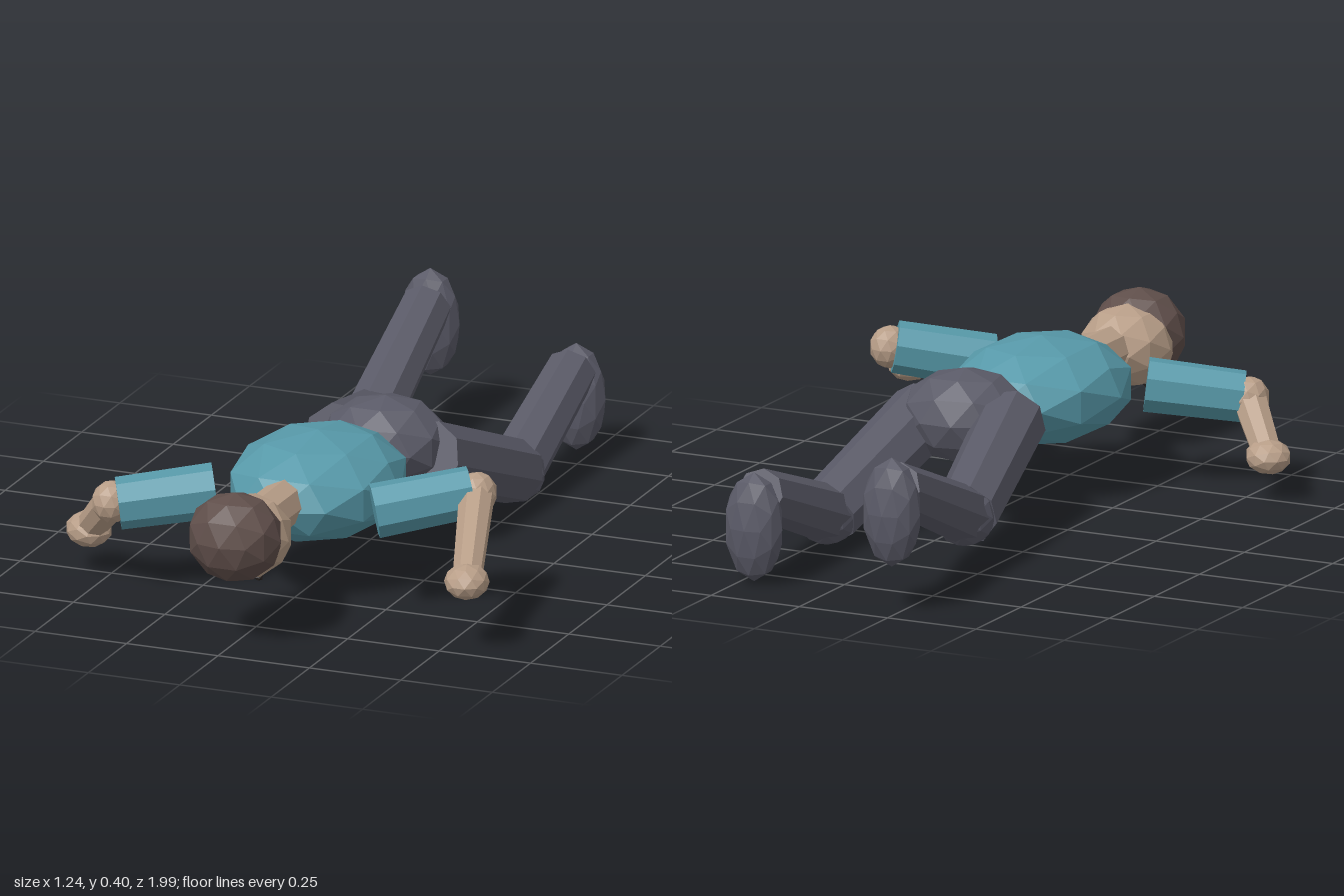
import * as THREE from 'three';

const flat = (name, color) => {
  const m = new THREE.MeshStandardMaterial({ color, flatShading: true });
  m.name = name;
  return m;
};

export function createModel() {
  const body = new THREE.Group();
  body.name = 'lyingFigure';

  const shirt = flat('teal shirt', 0x5799a9);
  const skin = flat('skin', 0xb89e88);
  const trousers = flat('grey trousers', 0x5a5a67);
  const hair = flat('brown hair', 0x5f4e4a);
  const dark = flat('dark eyes', 0x2a2422);

  const add = (name, geometry, material) => {
    const mesh = new THREE.Mesh(geometry, material);
    mesh.name = name;
    body.add(mesh);
    return mesh;
  };

  // Faceted ellipsoid; the body axis runs along z
  const blob = (name, material, pos, radii, yaw = 0, detail = 1) => {
    const g = new THREE.IcosahedronGeometry(1, detail);
    g.rotateX(Math.PI / 2);
    g.scale(...radii);
    const mesh = add(name, g, material);
    mesh.position.set(...pos);
    mesh.rotation.y = yaw;
    return mesh;
  };

  // Eight-sided limb segment between two points
  const limb = (name, material, from, to, rFrom, rTo) => {
    const a = new THREE.Vector3(...from), b = new THREE.Vector3(...to);
    const dir = b.clone().sub(a);
    const mesh = add(name, new THREE.CylinderGeometry(rTo, rFrom, dir.length(), 8), material);
    mesh.position.copy(a).add(b).multiplyScalar(0.5);
    mesh.quaternion.setFromUnitVectors(new THREE.Vector3(0, 1, 0), dir.normalize());
  };

  // Trunk, neck and head, face down
  blob('torso', shirt, [0, 0.268, 0.345], [0.225, 0.137, 0.278]);
  blob('pelvis', trousers, [0.04, 0.272, 0], [0.165, 0.123, 0.14], 0.2);
  limb('neck', skin, [0, 0.28, 0.56], [0, 0.28, 0.73], 0.06, 0.06);
  blob('head', skin, [0, 0.27, 0.825], [0.12, 0.108, 0.138]);
  blob('hair', hair, [0, 0.288, 0.888], [0.125, 0.118, 0.107]);
  for (const s of [-1, 1]) {
    blob('eye', dark, [s * 0.045, 0.172, 0.84], [0.012, 0.01, 0.012], 0, 0);
  }

  // Arms
  const arms = [
    { side: 'left', shoulder: [0.225, 0.27, 0.515], elbow: [0.44, 0.312, 0.395], joint: [0.455, 0.31, 0.395], hand: [0.557, 0.185, 0.705], yaw: 0.3 },
    { side: 'right', shoulder: [-0.215, 0.265, 0.505], elbow: [-0.435, 0.235, 0.612], joint: [-0.455, 0.235, 0.605], hand: [-0.56, 0.118, 0.505], yaw: 0.8 },
  ];
  for (const { side, shoulder, elbow, joint, hand, yaw } of arms) {
    limb(side + 'Sleeve', shirt, shoulder, elbow, 0.071, 0.067);
    blob(side + 'Elbow', skin, joint, [0.052, 0.056, 0.054]);
    limb(side + 'Forearm', skin, joint, hand, 0.046, 0.038);
    blob(side + 'Hand', skin, hand, [0.058, 0.045, 0.068], yaw);
  }

  // Legs, knees bent slightly and feet pointing down
  const legs = [
    { side: 'left', hip: [0.165, 0.257, 0.02], knee: [0.222, 0.088, -0.41], ankle: [0.21, 0.232, -0.81], foot: [0.21, 0.153, -0.84] },
    { side: 'right', hip: [-0.085, 0.268, 0.01], knee: [-0.198, 0.147, -0.47], ankle: [-0.224, 0.32, -0.9], foot: [-0.23, 0.265, -0.938] },
  ];
  for (const { side, hip, knee, ankle, foot } of legs) {
    limb(side + 'Thigh', trousers, hip, knee, 0.09, 0.084);
    blob(side + 'Knee', trousers, knee, [0.08, 0.082, 0.08]);
    limb(side + 'Shin', trousers, knee, ankle, 0.075, 0.065);
    blob(side + 'Foot', trousers, foot, [0.08, 0.142, 0.057]);
  }

  return body;
}
